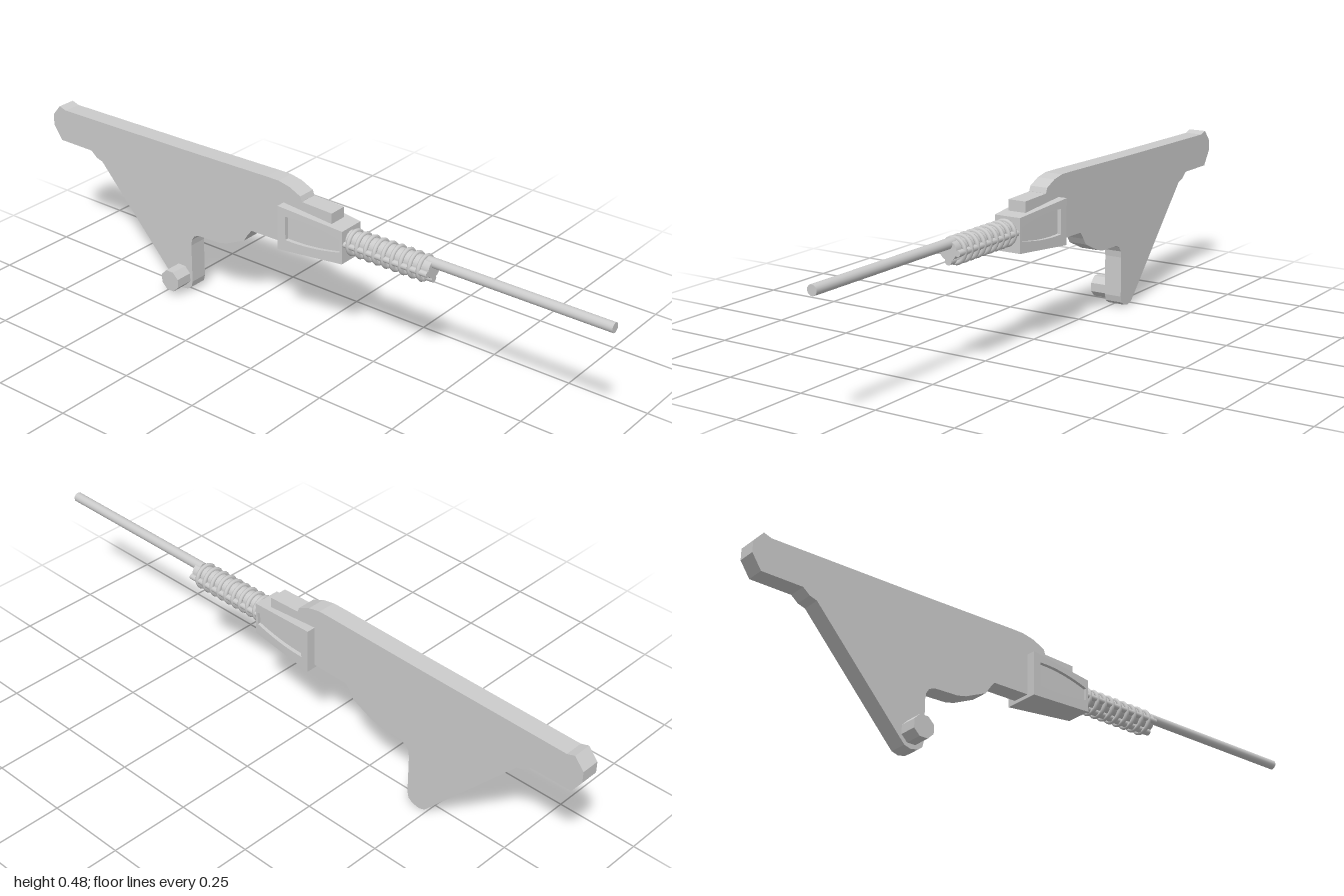
import * as THREE from 'three';

const MID_Z = -0.0125; // depth of the centre plane

export function createModel() {
  const model = new THREE.Group();
  const smooth = new THREE.MeshStandardMaterial({ color: 0xcccccc });
  const flat = new THREE.MeshStandardMaterial({ color: 0xcccccc, flatShading: true });

  const add = (name, geometry, material = flat, parent = model) => {
    const mesh = new THREE.Mesh(geometry, material);
    mesh.name = name;
    parent.add(mesh);
    return mesh;
  };
  const shapeOf = (pts) => new THREE.Shape(pts.map(([x, y]) => new THREE.Vector2(x, y)));
  const slab = (shape, z0, z1) =>
    new THREE.ExtrudeGeometry(shape, { depth: z1 - z0, bevelEnabled: false }).translate(0, 0, z0);
  // rod running along x
  const rod = (name, x0, x1, y, z, r, sides = 20, parent = model) =>
    add(name, new THREE.CylinderGeometry(r, r, x1 - x0, sides).rotateZ(-Math.PI / 2)
      .translate((x0 + x1) / 2, y, z), smooth, parent);

  // Flat body plate with the triangular rear fin
  add('bodyPlate', slab(shapeOf([
    [-1, 0.44], [-1, 0.405], [-0.97, 0.36], [-0.84, 0.36], [-0.818, 0.342], [-0.795, 0.335],
    [-0.51, 0.022], [-0.495, 0.006], [-0.475, 0], [-0.452, 0.004], [-0.436, 0.015], [-0.431, 0.035],
    [-0.431, 0.16], [-0.428, 0.18], [-0.418, 0.195], [-0.4, 0.203],
    [-0.32, 0.206], [-0.29, 0.213], [-0.22, 0.245], [-0.207, 0.265], [-0.19, 0.287],
    [0, 0.29], [0, 0.44], [-0.006, 0.455], [-0.045, 0.473], [-0.085, 0.481], [-0.13, 0.481],
    [-0.47, 0.474], [-0.945, 0.467], [-0.97, 0.475],
  ]), -0.041, 0.016));

  // Raised rail in front of the body
  add('topRail', slab(shapeOf([
    [-0.02, 0.39], [0.107, 0.39], [0.107, 0.436], [-0.02, 0.44],
  ]), -0.041, 0.016));

  // Eight-sided knob on the lower corner
  add('knob', new THREE.CylinderGeometry(0.0352, 0.0352, 0.057, 8, 1, false, Math.PI / 8)
    .rotateX(Math.PI / 2).translate(-0.473, 0.0475, 0.0435));

  // Tapered block with a shallow slot in each side
  const block = new THREE.Group();
  block.name = 'taperedBlock';
  model.add(block);
  const X0 = -0.067, X1 = 0.155, MID_Y = 0.348, H = 0.0695, W = 0.0565, SLOT = 0.013;
  const taper = (geometry) => {
    const p = geometry.attributes.position;
    for (let i = 0; i < p.count; i++) {
      const t = (p.getX(i) - X0) / (X1 - X0);
      p.setY(i, MID_Y + p.getY(i) * (1 - 0.26 * t));
      p.setZ(i, MID_Z + p.getZ(i) * (1 - 0.25 * t));
    }
    geometry.computeVertexNormals();
    return geometry;
  };
  add('blockCore', taper(new THREE.BoxGeometry(X1 - X0, 2 * H, 2 * (W - SLOT))
    .translate((X0 + X1) / 2, 0, 0)), flat, block);
  const side = shapeOf([[X0, -H], [X1, -H], [X1, H], [X0, H]]);
  const slot = new THREE.Path();
  slot.moveTo(-0.04, -0.033);
  slot.quadraticCurveTo(0.06, -0.044, 0.147, -0.022);
  slot.lineTo(0.147, 0.03);
  slot.quadraticCurveTo(0.06, 0.058, -0.04, 0.044);
  slot.closePath();
  side.holes.push(slot);
  add('leftSidePanel', taper(slab(side, W - SLOT, W)), flat, block);
  add('rightSidePanel', taper(slab(side, -W, SLOT - W)), flat, block);

  // Ringed sleeve around a core, held by guide rods
  const sleeve = new THREE.Group();
  sleeve.name = 'ringedSleeve';
  model.add(sleeve);
  const SY = 0.355;
  rod('sleeveCore', 0.15, 0.44, 0.361, MID_Z, 0.028, 24, sleeve);
  rod('lowerGuideRod', 0.15, 0.44, 0.33, MID_Z, 0.011, 12, sleeve);
  for (const s of [-1, 1])
    rod('sideGuideRod', 0.15, 0.44, SY, MID_Z + s * 0.031, 0.009, 10, sleeve);
  for (let i = 0; i < 9; i++)
    add('ring', new THREE.TorusGeometry(0.0345, 0.0068, 8, 28).rotateY(Math.PI / 2)
      .translate(0.17 + i * 0.03, SY, MID_Z), smooth, sleeve);

  // Long slim front rod
  rod('frontRod', 0.42, 1, 0.379, MID_Z, 0.015, 16);

  return model;
}
